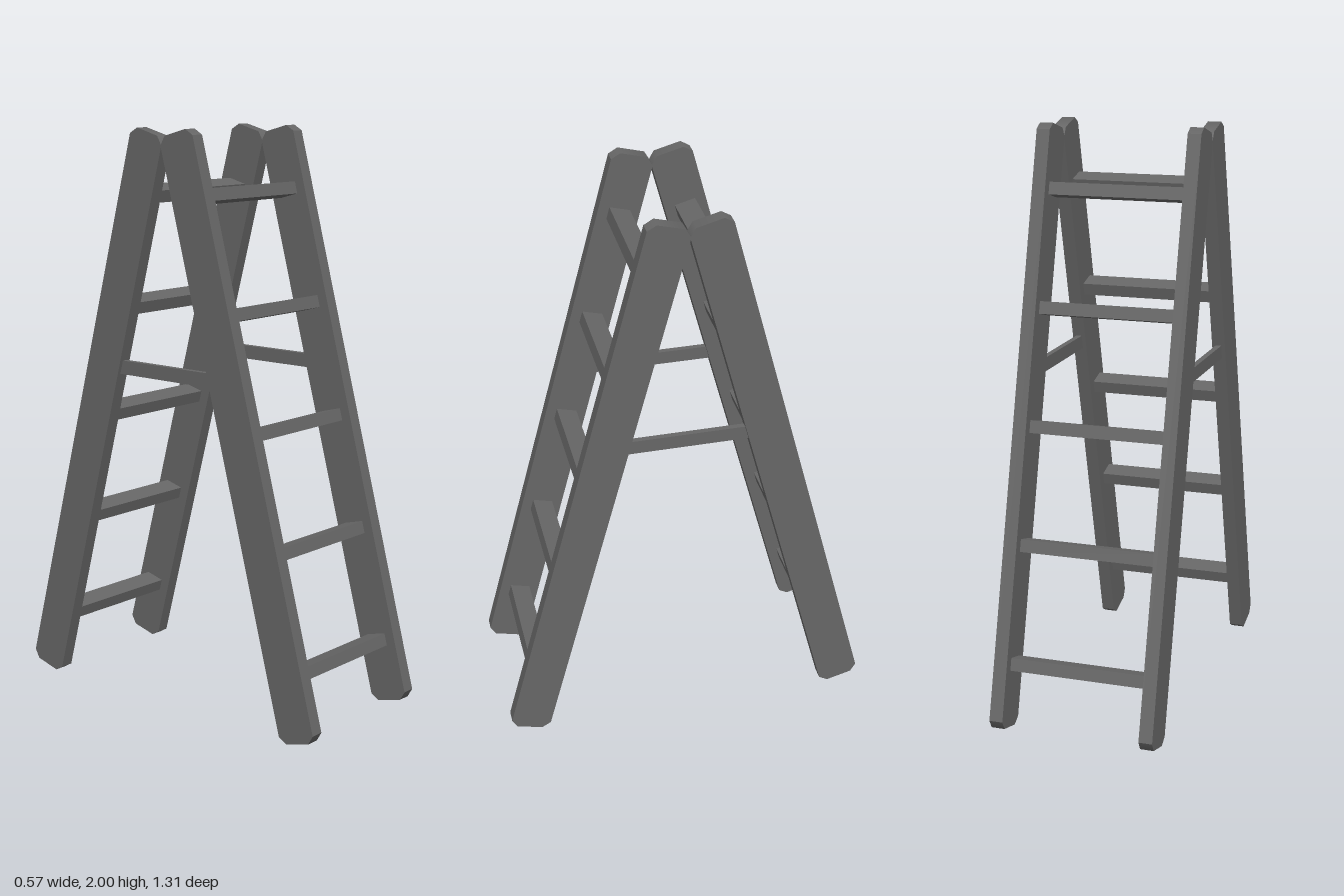
import * as THREE from 'three';

const material = new THREE.MeshStandardMaterial({ color: 0x666666 });
const TILT = THREE.MathUtils.degToRad(15);
const RAIL_X = 0.2635, RAIL_T = 0.047;

function addMesh(parent, name, geometry, x, y, z) {
  const mesh = new THREE.Mesh(geometry, material);
  mesh.name = name;
  mesh.position.set(x, y, z);
  parent.add(mesh);
}

// Long plank with chamfered ends, standing along y, thin in x
function railGeometry() {
  const w = 0.073, h = 1.024, c = 0.026;
  const shape = new THREE.Shape([
    [-w, -h + c], [-w + c, -h], [w - c, -h], [w, -h + c],
    [w, h - c], [w - c, h], [-w + c, h], [-w, h - c],
  ].map(([x, y]) => new THREE.Vector2(x, y)));
  const geometry = new THREE.ExtrudeGeometry(shape, { depth: RAIL_T, bevelEnabled: false });
  geometry.translate(0, 0, -RAIL_T / 2);
  geometry.rotateY(-Math.PI / 2);

  // Round the shading over the end faces, leaving the long faces and flat sides crisp
  const { position, normal } = geometry.attributes;
  const half = Math.PI / 8;
  for (let i = 0; i < position.count; i++) {
    const y = position.getY(i);
    if (Math.abs(normal.getY(i)) > 0.1 && Math.abs(y) > h - c / 2) {
      normal.setXYZ(i, 0, Math.sign(y) * Math.cos(half), Math.sign(position.getZ(i)) * Math.sin(half));
    }
  }
  return geometry;
}

// One leaning ladder: two rails and five rungs
function createLadder(name) {
  const ladder = new THREE.Group();
  ladder.name = name;
  const rail = railGeometry();
  addMesh(ladder, 'leftRail', rail, RAIL_X, 0, 0);
  addMesh(ladder, 'rightRail', rail, -RAIL_X, 0, 0);
  const rung = new THREE.BoxGeometry(2 * RAIL_X - RAIL_T, 0.043, 0.073);
  for (let i = -2; i <= 2; i++) addMesh(ladder, `rung${i + 3}`, rung, 0, i * 0.403, 0);
  ladder.position.set(0, 1, 0.327);
  ladder.rotation.x = -TILT;
  return ladder;
}

export function createModel() {
  const model = new THREE.Group();
  model.name = 'stepladder';

  // Front and back halves mirror each other
  model.add(createLadder('frontLadder'));
  const back = new THREE.Group();
  back.name = 'backHalf';
  back.rotation.y = Math.PI;
  back.add(createLadder('backLadder'));
  model.add(back);

  // Horizontal spreader braces between the rails
  const brace = new THREE.BoxGeometry(0.02, 0.048, 0.43);
  addMesh(model, 'leftBrace', brace, RAIL_X, 1.18, 0);
  addMesh(model, 'rightBrace', brace, -RAIL_X, 1.18, 0);
  return model;
}
